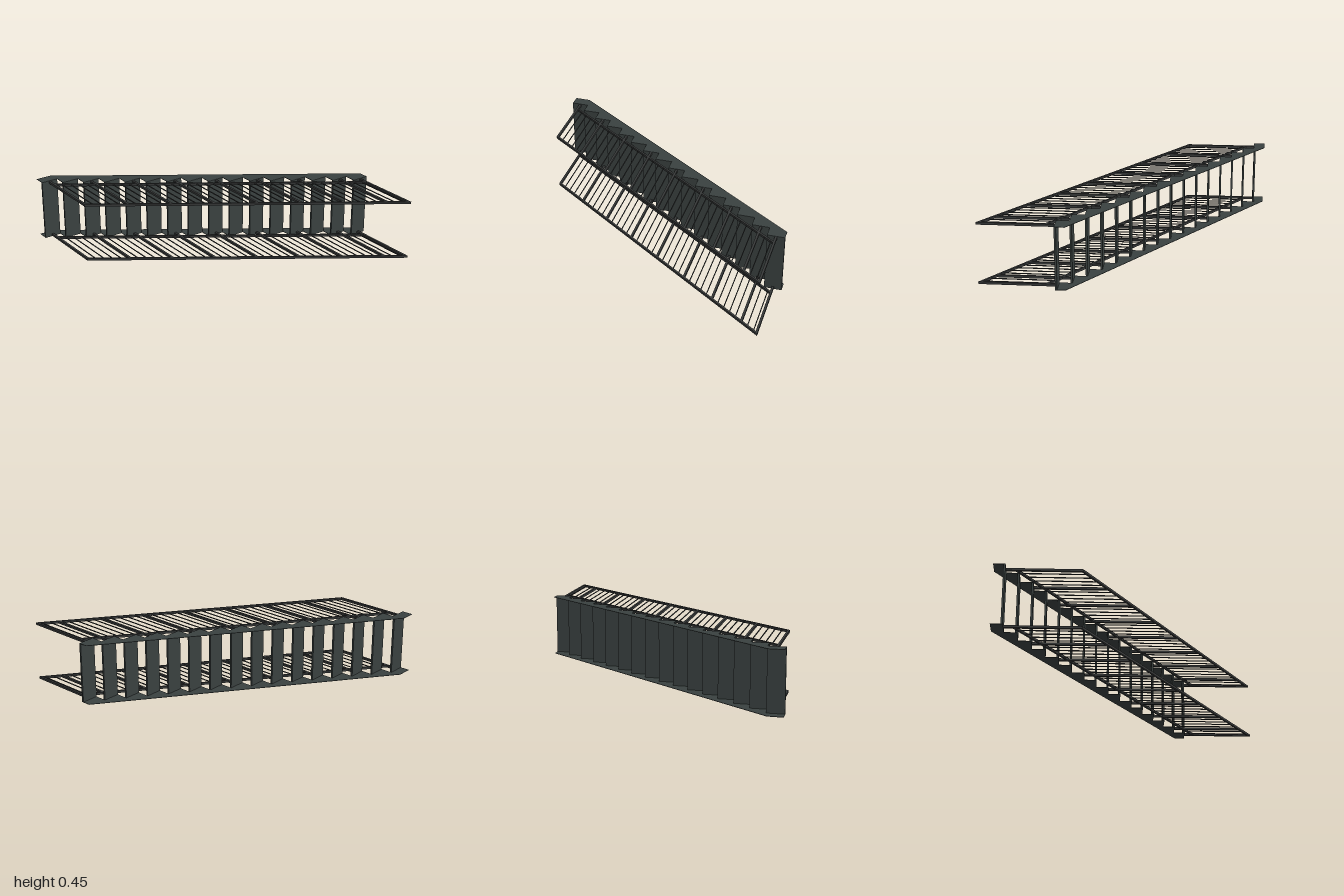
import * as THREE from 'three';

const STEPS = 16, RUN = 0.125, RISE = 0.0882, WIDTH = 0.45;
const SLOPE = RISE / RUN;
const stepX = (i) => -1 + RUN * (i + 0.5);
const stepZ = (i) => -0.885 + RISE * i;
// z of the pitch line at any x
const pitchZ = (x) => stepZ((x + 1) / RUN - 0.5);

// Extrude an x-z outline upward in y, starting at y0
function plate(points, y0, thickness) {
  const shape = new THREE.Shape(points.map(([x, z]) => new THREE.Vector2(x, z)));
  const geo = new THREE.ExtrudeGeometry(shape, { depth: thickness, bevelEnabled: false });
  geo.rotateX(Math.PI / 2);
  geo.translate(0, y0 + thickness, 0);
  return geo;
}

export function createModel() {
  const stairMat = new THREE.MeshStandardMaterial({ color: 0x3a4140 });
  stairMat.name = 'stair dark grey';
  const railMat = new THREE.MeshStandardMaterial({ color: 0x373939 });
  railMat.name = 'railing dark grey';

  const model = new THREE.Group();
  model.name = 'staircase';
  const add = (parent, name, geo, mat, x = 0, y = 0, z = 0) => {
    const mesh = new THREE.Mesh(geo, mat);
    mesh.name = name;
    mesh.position.set(x, y, z);
    parent.add(mesh);
  };

  // Sawtooth side plates
  const outline = [[-1, -0.968], [-0.89, -0.968], [1, 0.367]];
  for (let i = STEPS - 1; i >= 0; i--) {
    outline.push([-1 + RUN * (i + 1), stepZ(i)], [-1 + RUN * i, stepZ(i)]);
  }
  const T = 0.003;
  add(model, 'lowerStringer', plate(outline, 0, T), stairMat);
  add(model, 'upperStringer', plate(outline, WIDTH - T, T), stairMat);

  // Open treads between the stringers
  const treads = new THREE.Group();
  treads.name = 'treads';
  model.add(treads);
  const treadGeo = new THREE.BoxGeometry(RUN, WIDTH - 2 * T, 0.014);
  for (let i = 0; i < STEPS; i++) {
    add(treads, 'tread', treadGeo, stairMat, stepX(i), WIDTH / 2, stepZ(i) - 0.007);
  }

  // One railing along each stringer
  const BAR = 0.017, LOW = 0.067, HIGH = 0.514, END = 0.945;
  const bar = (parent, name, x, y, z0, z1, w, h) =>
    add(parent, name, new THREE.BoxGeometry(w, h, z1 - z0), railMat, x, y, (z0 + z1) / 2);

  for (const [name, y] of [['lowerRailing', T + BAR / 2], ['upperRailing', WIDTH - T - BAR / 2]]) {
    const railing = new THREE.Group();
    railing.name = name;
    model.add(railing);

    // Sloping rails
    for (const [rail, offset] of [['bottomRail', LOW], ['handrail', HIGH]]) {
      const a = pitchZ(-END) + offset, b = pitchZ(END) + offset, h = 0.009;
      const pts = [[-END, a - h], [END, b - h], [END, b + h], [-END, a + h]];
      add(railing, rail, plate(pts, y - BAR / 2, BAR), railMat);
    }

    // Posts on every second tread and on the last one
    for (const i of [0, 2, 4, 6, 8, 10, 12, 14, 15]) {
      bar(railing, 'post', stepX(i), y, stepZ(i), stepZ(i) + HIGH, 0.016, BAR);
    }

    // Thin balusters, four between each pair of posts
    for (let k = 1; k < 38; k++) {
      if (k % 5 === 0) continue;
      const x = stepX(0) + 0.05 * k;
      bar(railing, 'baluster', x, y, pitchZ(x) + LOW, pitchZ(x) + HIGH, 0.006, 0.006);
    }
  }
  return model;
}
